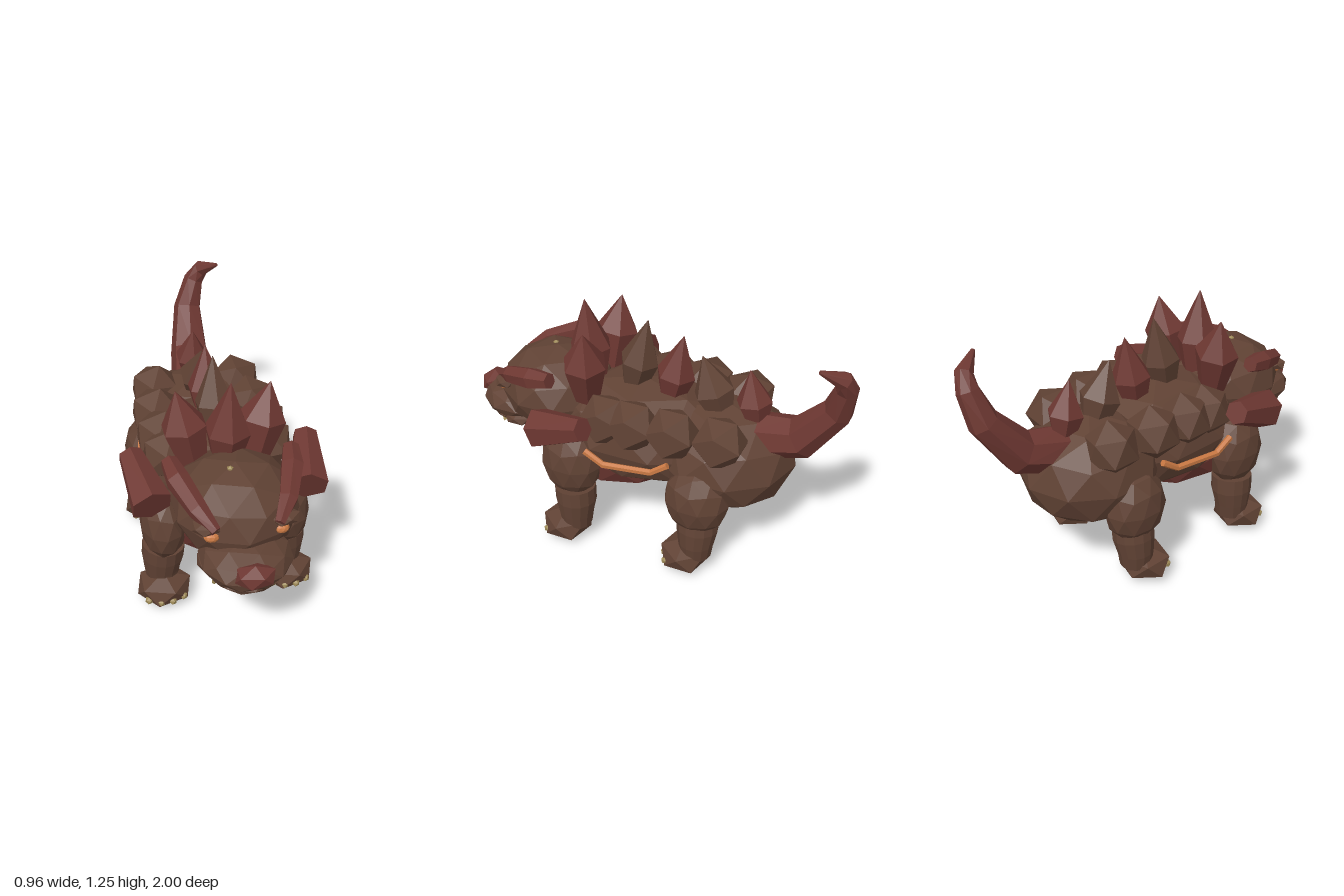
import * as THREE from 'three';

const flat = (name, color) => {
  const m = new THREE.MeshStandardMaterial({ color, flatShading: true });
  m.name = name;
  return m;
};

// Tapered tube with closed ends: rows of [x, y, z, radius]
function loft(rows, sides) {
  const pts = rows.map(r => new THREE.Vector3(r[0], r[1], r[2]));
  const pos = [], idx = [], side = new THREE.Vector3(1, 0, 0);
  pts.forEach((p, i) => {
    const t = pts[Math.min(i + 1, pts.length - 1)].clone().sub(pts[Math.max(i - 1, 0)]).normalize();
    const u = side.clone().cross(t).normalize(), v = t.clone().cross(u);
    for (let j = 0; j < sides; j++) {
      const a = (j / sides) * Math.PI * 2;
      const q = p.clone().addScaledVector(u, Math.cos(a) * rows[i][3]).addScaledVector(v, Math.sin(a) * rows[i][3]);
      pos.push(q.x, q.y, q.z);
    }
  });
  const last = (pts.length - 1) * sides, c0 = pts.length * sides, c1 = c0 + 1;
  pos.push(...pts[0].toArray(), ...pts[pts.length - 1].toArray());
  for (let j = 0; j < sides; j++) {
    const k = (j + 1) % sides;
    for (let r = 0; r < last; r += sides) {
      idx.push(r + j, r + k, r + sides + j, r + k, r + sides + k, r + sides + j);
    }
    idx.push(c0, k, j, c1, last + j, last + k);
  }
  const g = new THREE.BufferGeometry();
  g.setAttribute('position', new THREE.Float32BufferAttribute(pos, 3));
  g.setIndex(idx);
  g.computeVertexNormals();
  return g;
}

// Angle that stands an icosahedron on one of its corners
const UPRIGHT = -Math.atan(2 / (1 + Math.sqrt(5)));

export function createModel() {
  const model = new THREE.Group();
  model.name = 'armouredBeast';
  const hide = flat('brown hide', 0x604234);
  const horn = flat('dark red horn', 0x6e3832);
  const glow = flat('orange', 0xc87843);
  const claw = flat('claw', 0x9c8856);

  const add = (name, geo, mat, parent = model) => {
    const m = new THREE.Mesh(geo, mat);
    m.name = name;
    parent.add(m);
    return m;
  };
  // Faceted ellipsoid standing on a corner
  const blob = (name, mat, p, r, detail = 1, parent = model) => {
    const m = add(name, new THREE.IcosahedronGeometry(1, detail).rotateZ(UPRIGHT).scale(...r), mat, parent);
    m.position.set(...p);
    return m;
  };
  const tube = (name, mat, rows, sides = 6, parent = model) => add(name, loft(rows, sides), mat, parent);
  // Spike that swells above its base, then comes to a point
  const spike = (name, mat, base, tip, r, swell = 0.42) => {
    const at = (f, k) => [...base.map((b, i) => b + (tip[i] - b) * f), r * k];
    tube(name, mat, [at(0, 0.6), at(swell, 1), at(1, 0.01)], 6);
  };

  // Trunk
  blob('torso', hide, [0, 0.6, 0.05], [0.345, 0.275, 0.5], 1);
  blob('rump', hide, [0, 0.56, -0.385], [0.345, 0.28, 0.365], 1);
  blob('belly', horn, [0, 0.465, 0.19], [0.3, 0.21, 0.37], 1);

  // Head
  blob('skull', hide, [0, 0.72, 0.53], [0.295, 0.225, 0.305], 1);
  blob('skullStud', claw, [-0.03, 0.932, 0.56], [0.016, 0.016, 0.016], 0);
  blob('muzzle', hide, [0, 0.6, 0.76], [0.215, 0.105, 0.21], 1);
  blob('jaw', hide, [0, 0.545, 0.735], [0.19, 0.075, 0.21], 1);
  blob('nose', horn, [0, 0.635, 0.935], [0.1, 0.058, 0.068], 0);

  // Spikes behind the head and along the spine
  spike('crestSpike', horn, [0, 0.8, 0.33], [0.015, 1.245, 0.36], 0.11);
  spike('spineSpikeA', hide, [0, 0.8, 0.11], [0, 1.195, 0.03], 0.1);
  spike('spineSpikeB', horn, [0, 0.78, -0.09], [0, 1.15, -0.155], 0.1);
  spike('spineSpikeC', hide, [0, 0.76, -0.36], [0, 1.065, -0.25], 0.105);
  spike('spineSpikeD', horn, [0, 0.76, -0.54], [0, 1.045, -0.49], 0.09);

  // Hooked tail
  tube('tail', horn, [
    [0.01, 0.7, -0.55, 0.12], [0.03, 0.765, -0.77, 0.105], [0.05, 0.97, -0.925, 0.075],
    [0.095, 1.12, -0.958, 0.054], [0.135, 1.185, -0.945, 0.043], [0.2, 1.24, -0.85, 0.01],
  ], 7);

  for (const s of [1, -1]) {
    const side = s > 0 ? 'left' : 'right';

    // Face
    blob(side + 'Eye', glow, [s * 0.155, 0.742, 0.768], [0.037, 0.026, 0.032], 1);
    blob(side + 'Eyelid', hide, [s * 0.17, 0.782, 0.745], [0.08, 0.032, 0.06], 0);
    blob(side + 'Cheek', hide, [s * 0.165, 0.545, 0.71], [0.05, 0.035, 0.08], 0);
    tube(side + 'Fang', claw, [[s * 0.15, 0.5, 0.8, 0.012], [s * 0.15, 0.525, 0.815, 0.002]], 5);
    tube(side + 'Brow', horn, [
      [s * 0.14, 0.785, 0.79, 0.025], [s * 0.2, 0.84, 0.7, 0.046],
      [s * 0.26, 0.89, 0.54, 0.056], [s * 0.282, 0.915, 0.43, 0.04],
    ], 6);
    spike(side + 'CrestSpike', horn, [s * 0.145, 0.78, 0.3], [s * 0.22, 1.175, 0.27], 0.112, 0.55);

    // Shoulder horn
    tube(side + 'ShoulderHorn', horn, [
      [s * 0.37, 0.69, 0.455, 0.104], [s * 0.43, 0.795, 0.18, 0.06],
    ], 6);

    // Armour lumps along the flank, each leaning outward
    [[0.245, 0.745, 0.15], [0.255, 0.757, 0], [0.25, 0.762, -0.2], [0.22, 0.757, -0.43]].forEach(([x, y, z], i) => {
      const lump = blob(side + 'ArmourLump' + (i + 1), hide, [s * x, y, z], [0.138, 0.138, 0.138], 0);
      lump.rotation.z = -s * 0.9;
    });

    // Flank stripe
    tube(side + 'FlankStripe', glow, [
      [s * 0.37, 0.62, 0.21, 0.017], [s * 0.375, 0.57, 0.11, 0.017],
      [s * 0.347, 0.577, -0.13, 0.017], [s * 0.33, 0.63, -0.21, 0.017],
    ], 6);

    // Legs: [name, knee x, foot x, foot z, upper-limb centre, upper-limb radii]
    const legs = [
      ['Front', 0.305, 0.318, 0.36, [0.305, 0.48, 0.325], [0.115, 0.2, 0.16]],
      ['Hind', 0.265, 0.295, -0.3, [0.28, 0.43, -0.345], [0.13, 0.19, 0.165]],
    ];
    for (const [which, knee, x, z, c, r] of legs) {
      const leg = new THREE.Group();
      leg.name = side + which + 'Leg';
      model.add(leg);
      blob('upperLimb', hide, [s * c[0], c[1], c[2]], r, 1, leg);
      tube('lowerLimb', hide, [
        [s * x, 0.1, z - 0.055, 0.08], [s * x, 0.17, z - 0.055, 0.09],
        [s * (x + knee) / 2, 0.25, z - 0.055, 0.105], [s * knee, 0.33, z - 0.05, 0.106],
      ], 14, leg);
      blob('foot', hide, [s * x, 0.086, z], [0.15, 0.086, 0.136], 0, leg);
      for (let i = 0; i < 4; i++) {
        const o = (i - 1.5) * 0.058;
        const front = z + 0.113 - Math.abs(o) * 0.45;
        blob('claw' + (i + 1), claw, [s * x + o, 0.065, front], [0.021, 0.02, 0.024], 0, leg);
      }
    }
  }
  return model;
}
